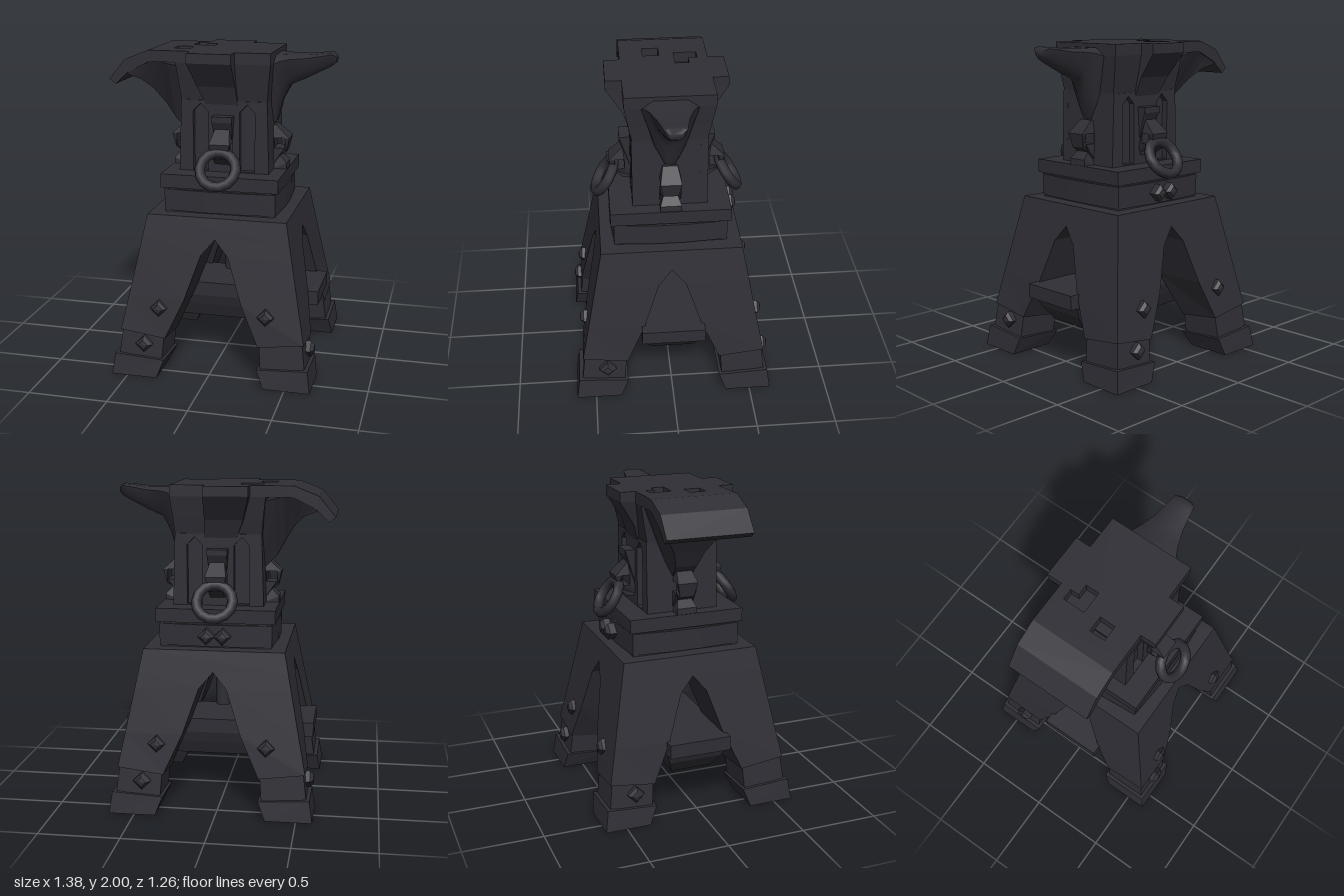
import * as THREE from 'three';
import { toCreasedNormals } from 'three/addons/utils/BufferGeometryUtils.js';

const iron = new THREE.MeshStandardMaterial({ color: 0x2f2e35, flatShading: true });
const smoothIron = new THREE.MeshStandardMaterial({ color: 0x2f2e35 });

function add(parent, name, geometry, x = 0, y = 0, z = 0, material = iron) {
  const mesh = new THREE.Mesh(geometry, material);
  mesh.name = name;
  mesh.position.set(x, y, z);
  parent.add(mesh);
  return mesh;
}

// Skin a series of convex rings of [x, y, z] points and cap both ends.
function loft(rings) {
  const tris = [];
  const n = rings[0].length;
  for (let r = 0; r < rings.length - 1; r++) {
    for (let i = 0; i < n; i++) {
      const j = (i + 1) % n, a = rings[r], b = rings[r + 1];
      tris.push([a[i], a[j], b[j]], [a[i], b[j], b[i]]);
    }
  }
  const first = rings[0], last = rings[rings.length - 1];
  for (let i = 1; i < n - 1; i++) {
    tris.push([first[0], first[i + 1], first[i]], [last[0], last[i], last[i + 1]]);
  }
  // a negative volume means the faces point inwards
  const v = (p) => new THREE.Vector3(...p);
  const volume = tris.reduce((s, [a, b, c]) => s + v(a).dot(v(b).cross(v(c))), 0);
  if (volume < 0) tris.forEach((t) => t.reverse());
  const g = new THREE.BufferGeometry();
  g.setAttribute('position', new THREE.Float32BufferAttribute(tris.flat(2), 3));
  g.computeVertexNormals();
  return g;
}

// Horizontal rectangle, optionally tilted in both directions.
function rect(y, x0, x1, z0, z1, tilt = 0) {
  const cx = (x0 + x1) / 2, cz = (z0 + z1) / 2;
  return [[x0, z0], [x1, z0], [x1, z1], [x0, z1]]
    .map(([x, z]) => [x, y + tilt * ((z - cz) - (x - cx)), z]);
}

function extrude(points, depth, holes = []) {
  const toPoints = (list) => list.map(([x, y]) => new THREE.Vector2(x, y));
  const shape = new THREE.Shape(toPoints(points));
  holes.forEach((h) => shape.holes.push(new THREE.Path(toPoints(h))));
  return new THREE.ExtrudeGeometry(shape, { depth, bevelEnabled: false });
}

const box2 = (x0, x1, y0, y1) => [[x0, y0], [x1, y0], [x1, y1], [x0, y1]];

// Diamond-shaped rivet facing +z, or -z when dir is -1.
function rivet(parent, x, y, z, dir = 1) {
  const profile = [[0.052, -0.04], [0.054, 0.008], [0.032, 0.028], [0, 0.034]];
  const g = new THREE.LatheGeometry(profile.map(([r, h]) => new THREE.Vector2(r, h)), 4);
  add(parent, 'rivet', g.rotateX(Math.PI / 2 * dir), x, y, z);
}

function buildStand(parent) {
  const stand = new THREE.Group();
  stand.name = 'stand';
  parent.add(stand);
  const outer = (y) => 0.437 + 0.196 * (1.01 - y);
  const crown = [0.88, 1.01].map((y) => rect(y, -outer(y), outer(y), -outer(y), outer(y)));
  add(stand, 'standTop', loft(crown));

  for (let k = 0; k < 4; k++) {
    const leg = new THREE.Group();
    leg.name = 'leg';
    leg.rotation.y = k * Math.PI / 2;
    stand.add(leg);
    const section = (y, w, o, tilt = 0) => rect(y, -o, -w, w, o, tilt);
    // leg, its inner edges forming the pointed arches
    add(leg, 'legPost', loft([
      section(0.25, 0.295, 0.58, 0.13), section(0.5, 0.18, outer(0.5)),
      section(0.78, 0.085, outer(0.78)), section(0.88, 0, outer(0.88)),
    ]));
    add(leg, 'legBand', loft([section(0.1, 0.315, 0.588, 0.13), section(0.29, 0.3, 0.565, 0.13)]));
    // foot, hollow underneath
    add(leg, 'foot', loft([
      section(0.115, 0.295, 0.61, 0.06), section(0, 0.34, 0.629),
      section(0, 0.39, 0.579), section(0.08, 0.39, 0.572),
    ]));
    rivet(leg, -0.425, 0.21, 0.595);
  }
  for (const x of [-0.338, 0.338]) {
    for (const s of [-1, 1]) rivet(stand, x, 0.44, s * 0.557, s);
  }

  // cross beam between the legs
  add(stand, 'crossBeam', new THREE.BoxGeometry(1.21, 0.09, 0.4), 0, 0.455, 0);
  add(stand, 'crossBeamKeel', loft([
    rect(0.25, -0.45, 0.45, -0.135, 0.135), rect(0.34, -0.52, 0.52, -0.175, 0.175),
    rect(0.412, -0.55, 0.55, -0.2, 0.2),
  ]));
  const pin = new THREE.CylinderGeometry(0.058, 0.046, 0.4, 10);
  add(stand, 'hangingPin', toCreasedNormals(pin, 0.8), 0, 0.75, 0, smoothIron);
}

function buildBase(parent) {
  // collar with gently bowed sides
  const side = [[0.35, 0.35], [0.22, 0.36], [0.09, 0.37], [-0.09, 0.37], [-0.22, 0.36]];
  const outline = [];
  for (let k = 0; k < 4; k++) {
    for (const [x, y] of side) {
      const p = new THREE.Vector2(x, y).rotateAround(new THREE.Vector2(), k * Math.PI / 2);
      outline.push([p.x, p.y]);
    }
  }
  add(parent, 'collar', extrude(outline, 0.135).rotateX(-Math.PI / 2), 0, 1.02, 0);
  add(parent, 'neck', new THREE.BoxGeometry(0.69, 0.18, 0.69), 0, 1.09, 0);
  add(parent, 'basePlate', new THREE.BoxGeometry(0.74, 0.085, 0.74), 0, 1.21, 0);
  for (const x of [-0.05, 0.05]) rivet(parent, x, 1.09, -0.405, -1);
}

function buildBody(parent) {
  const level = (y, hx, hz) => rect(y, -hx, hx, -hz, hz);
  add(parent, 'body', loft([
    level(1.24, 0.285, 0.19), level(1.68, 0.27, 0.19), level(1.7, 0.27, 0.225),
    level(1.8, 0.28, 0.245), level(1.935, 0.296, 0.27),
  ]));
  // side panels pierced by pointed slots
  const slot = (c) => [[c - 0.048, 1.26], [c + 0.048, 1.26], [c + 0.048, 1.63], [c, 1.68], [c - 0.048, 1.63]];
  for (const s of [0, 1]) {
    const panel = add(parent, 'slottedPanel',
      extrude([[-0.285, 1.24], [0.285, 1.24], [0.27, 1.7], [-0.27, 1.7]], 0.045, [slot(-0.147), slot(0.147)])
        .translate(0, 0, 0.185));
    panel.rotation.y = s * Math.PI;
  }
  // working face with two square holes
  add(parent, 'topFace', extrude(box2(-0.36, 0.296, -0.27, 0.27), 0.07,
    [box2(-0.269, -0.129, 0.065, 0.205), box2(-0.34, -0.24, -0.125, -0.025)])
    .rotateX(-Math.PI / 2), 0, 1.93, 0);
  // flared blocks on the two long sides
  for (const s of [-1, 1]) {
    const part = (y, cx, hx, z) => rect(y, cx - hx, cx + hx, s * 0.15, s * z);
    add(parent, 'flaredBlock', loft([
      part(1.67, -0.012, 0.1, 0.228), part(1.79, -0.04, 0.12, 0.27),
      part(1.94, -0.062, 0.138, 0.368), part(2, -0.062, 0.138, 0.368),
    ]));
  }
}

function buildHornAndHeel(parent) {
  // heel: drooping plate on a fan-shaped support
  add(parent, 'heelPlate', extrude([[-0.36, 2], [-0.468, 2], [-0.618, 1.94], [-0.72, 1.815],
    [-0.68, 1.785], [-0.6, 1.86], [-0.46, 1.93], [-0.36, 1.93]], 0.54), 0, 0, -0.27);
  const wedge = ([x, top, bottom, wide, narrow]) =>
    [[x, top, -wide], [x, top, wide], [x, bottom, narrow], [x, bottom, -narrow]];
  add(parent, 'heelSupport', loft([
    [-0.25, 1.9, 1.45, 0.24, 0.06], [-0.35, 1.92, 1.55, 0.255, 0.07], [-0.405, 1.935, 1.65, 0.262, 0.1],
    [-0.47, 1.935, 1.755, 0.267, 0.17], [-0.53, 1.91, 1.815, 0.267, 0.225], [-0.6, 1.87, 1.845, 0.267, 0.26],
  ].map(wedge)));
  // horn: rounded sections running out to the tip
  const oval = ([x, top, bottom, w, b]) => {
    const h = top - bottom;
    const half = [[top, w * 0.6], [top - h * 0.12, w], [bottom + h * 0.3, w * 0.35 + b * 0.65], [bottom, b * 0.6]];
    return half.map(([y, z]) => [x, y, z]).concat(half.reverse().map(([y, z]) => [x, y, -z]));
  };
  const horn = loft([
    [0.25, 1.975, 1.5, 0.175, 0.05], [0.296, 1.975, 1.56, 0.17, 0.05], [0.33, 1.975, 1.69, 0.15, 0.055],
    [0.38, 1.972, 1.785, 0.126, 0.06], [0.48, 1.972, 1.83, 0.093, 0.06], [0.6, 1.985, 1.89, 0.072, 0.05],
    [0.636, 1.987, 1.91, 0.066, 0.045], [0.659, 1.965, 1.93, 0.038, 0.03],
  ].map(oval));
  add(parent, 'horn', toCreasedNormals(horn, 0.9), 0, 0, 0, smoothIron);
}

function buildLugs(parent) {
  // pierced lugs on four sides; two of them carry rings
  const withRing = [[0.2, 1.61], [0.295, 1.61], [0.295, 1.575], [0.275, 1.53], [0.36, 1.45],
    [0.34, 1.36], [0.27, 1.31], [0.2, 1.31]];
  const plain = [[0.25, 1.53], [0.29, 1.53], [0.38, 1.45], [0.36, 1.36], [0.32, 1.335],
    [0.365, 1.29], [0.365, 1.24], [0.25, 1.24]];
  for (let k = 0; k < 4; k++) {
    const ringed = k % 2 === 1;
    const side = new THREE.Group();
    side.name = ringed ? 'ringLug' : 'sideLug';
    side.rotation.y = k * Math.PI / 2;
    parent.add(side);
    const hole = ringed ? box2(0.265, 0.322, 1.385, 1.45) : box2(0.285, 0.35, 1.385, 1.45);
    const g = extrude(ringed ? withRing : plain, 0.13, [hole]).translate(0, 0, -0.065);
    // pinch the lug above and below its eye
    const p = g.attributes.position;
    for (let i = 0; i < p.count; i++) {
      const y = p.getY(i);
      const pinch = (y > 1.5 && y < 1.56) || (y > 1.3 && y < 1.37) ? 0.7 : 1;
      p.setZ(i, p.getZ(i) * pinch);
    }
    g.computeVertexNormals();
    add(side, 'lug', g);
    if (ringed) {
      const ring = add(side, 'ring', new THREE.TorusGeometry(0.112, 0.033, 8, 14), 0.39, 1.305, 0, smoothIron);
      ring.rotation.set(0, Math.PI / 2, 0);
      ring.rotateX(-0.57);
    }
  }
}

export function createModel() {
  const model = new THREE.Group();
  model.name = 'anvilOnStand';
  const anvil = new THREE.Group();
  anvil.name = 'anvil';
  anvil.position.set(0.029, 0, -0.006);
  model.add(anvil);
  buildStand(anvil);
  buildBase(anvil);
  buildBody(anvil);
  buildHornAndHeel(anvil);
  buildLugs(anvil);
  return model;
}
